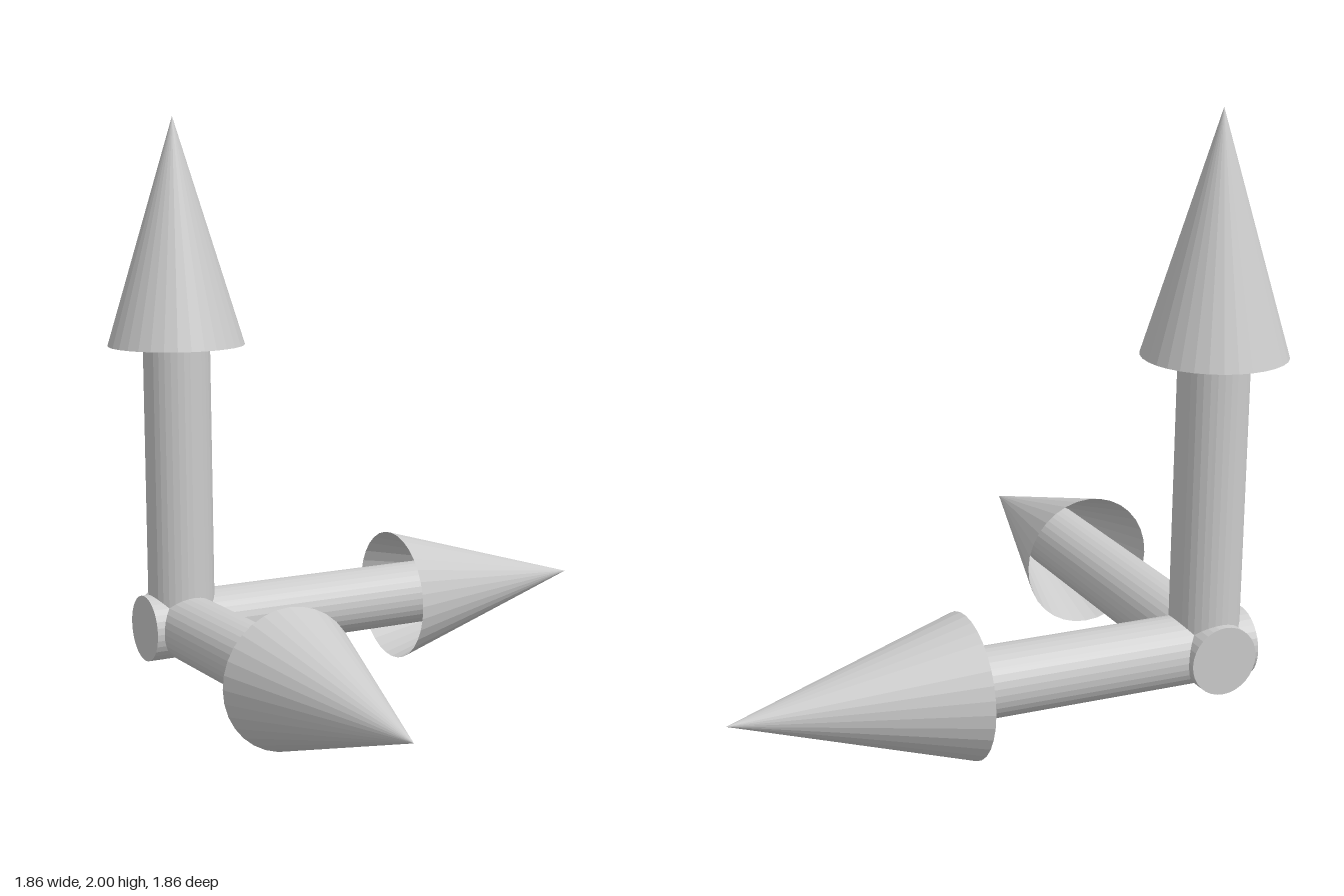
import * as THREE from 'three';

const SHAFT_RADIUS = 0.115, HEAD_RADIUS = 0.235;
const HEAD_BASE = 0.985, HEAD_LENGTH = 0.78, SHAFT_LENGTH = 1.27;
const SIDES = 32;

const shaftMaterial = new THREE.MeshStandardMaterial({ color: 0xcccccc, flatShading: true });
const headMaterial = new THREE.MeshStandardMaterial({
  color: 0xcccccc, flatShading: true, side: THREE.DoubleSide,
});

// One arrow pointing along +y, its shaft starting at `start`
function makeArrow(name, start) {
  const arrow = new THREE.Group();
  arrow.name = name;

  // Closed shaft that runs on into the hollow head
  const shaft = new THREE.Mesh(
    new THREE.CylinderGeometry(SHAFT_RADIUS, SHAFT_RADIUS, SHAFT_LENGTH, SIDES), shaftMaterial);
  shaft.name = name + 'Shaft';
  shaft.position.y = start + SHAFT_LENGTH / 2;

  // Hollow cone, open at its base
  const head = new THREE.Mesh(
    new THREE.ConeGeometry(HEAD_RADIUS, HEAD_LENGTH, SIDES, 1, true), headMaterial);
  head.name = name + 'Head';
  head.position.y = start + HEAD_BASE + HEAD_LENGTH / 2;

  arrow.add(shaft, head);
  return arrow;
}

export function createModel() {
  const model = new THREE.Group();
  model.name = 'axisArrows';

  // The two level arrows start a little behind the corner
  const up = makeArrow('upArrow', 0);
  const side = makeArrow('sideArrow', -0.14);
  side.rotation.z = -Math.PI / 2;
  const front = makeArrow('frontArrow', -0.14);
  front.rotation.x = Math.PI / 2;

  for (const arrow of [up, side, front]) {
    arrow.position.set(-0.695, 0.235, -0.695);
    model.add(arrow);
  }
  return model;
}
